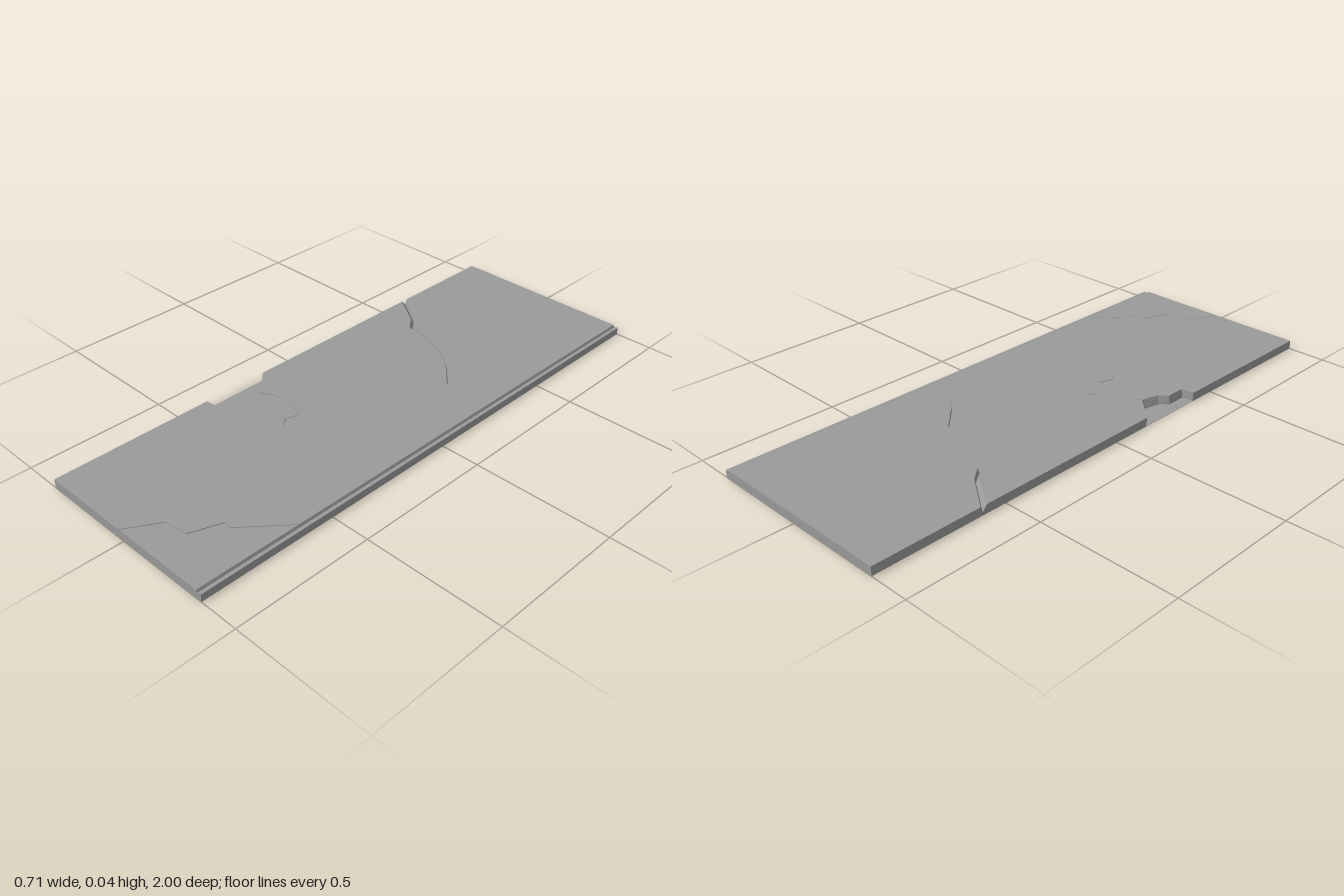
import * as THREE from 'three';

const W = 0.357, LIP = 0.337, T = 0.032, FLOOR = 0.001;

const material = new THREE.MeshStandardMaterial({
  color: 0x9a9a9a, flatShading: true, side: THREE.DoubleSide,
});

// Slight upheaval of the surface just behind the long crack
function lift(x, z) {
  const crackZ = -0.45 + 0.294 * (x + 0.19) + 1.22 * (x + 0.19) * (x + 0.02);
  return z < crackZ ? 0.004 * Math.exp(-((x + 0.08) ** 2) / 0.02 - ((z + 0.42) ** 2) / 0.01) : 0;
}
const onTop = ([x, z]) => [x, T + lift(x, z), z];

// Crack from rows of [x, z, width, depth, optional sideways direction];
// the back wall is steeper than the front one
function makeCrack(rows) {
  const front = [], back = [], bottom = [];
  rows.forEach(([x, z, w, depth, dir], i) => {
    const a = rows[Math.max(i - 1, 0)], b = rows[Math.min(i + 1, rows.length - 1)];
    const dx = b[0] - a[0], dz = b[1] - a[1], len = Math.hypot(dx, dz);
    const [nx, nz] = dir || [-dz / len, dx / len];
    front.push([x + nx * w / 2, z + nz * w / 2]);
    back.push([x - nx * w / 2, z - nz * w / 2]);
    bottom.push([x - nx * w * 0.2, T - depth, z - nz * w * 0.2]);
  });
  return { front, back, bottom };
}

// Faceted band between two rows of 3D points
function band(a, b) {
  const pos = [];
  for (let i = 0; i < a.length - 1; i++) {
    pos.push(...a[i], ...b[i], ...b[i + 1], ...a[i], ...b[i + 1], ...a[i + 1]);
  }
  const g = new THREE.BufferGeometry();
  g.setAttribute('position', new THREE.Float32BufferAttribute(pos, 3));
  g.computeVertexNormals();
  return g;
}

const flat = (pts, holes = []) => {
  const toV = (p) => new THREE.Vector2(p[0], p[1]);
  const s = new THREE.Shape(pts.map(toV));
  holes.forEach((h) => s.holes.push(new THREE.Path(h.map(toV))));
  return new THREE.ShapeGeometry(s);
};

// Horizontal sheet from [x, z] points, at a height given by a rule
function sheet(pts, height, holes = []) {
  const flip = (list) => list.map(([x, z]) => [x, -z]);
  const g = flat(flip(pts), holes.map(flip)).rotateX(-Math.PI / 2);
  const p = g.attributes.position;
  for (let i = 0; i < p.count; i++) p.setY(i, height(p.getX(i), p.getZ(i)));
  g.computeVertexNormals();
  return g;
}

export function createModel() {
  const group = new THREE.Group();
  const add = (name, geometry) => {
    const m = new THREE.Mesh(geometry, material);
    m.name = name;
    group.add(m);
  };

  const backCrack = makeCrack([
    [-W, -0.588, 0.026, 0.02, [0, 1]], [-0.235, -0.503, 0.016, 0.015],
    [-0.195, -0.452, 0.014, 0.018], [-0.165, -0.447, 0.009, 0.015],
    [-0.02, -0.4, 0.005, 0.012], [0.07, -0.345, 0.005, 0.011],
    [0.155, -0.255, 0.006, 0.009], [0.205, -0.22, 0, 0.004],
  ]);
  const sideCrack = makeCrack([
    [-0.265, 0.24, 0.008, 0.012, [0, 1]], [-0.22, 0.215, 0.004, 0.008],
    [-0.145, 0.205, 0.003, 0.007], [-0.075, 0.235, 0.005, 0.007],
    [-0.09, 0.285, 0.004, 0.006], [-0.05, 0.325, 0, 0.003],
  ]);
  const branchCrack = makeCrack([
    [-0.145, 0.2, 0, 0.003], [-0.12, 0.16, 0.002, 0.006], [-0.1, 0.115, 0, 0.003],
  ]);
  const cornerCrack = makeCrack([
    [-0.02, 1, 0.004, 0.007, [1, 0]], [0.05, 0.885, 0.004, 0.007],
    [0.135, 0.875, 0.004, 0.007], [0.175, 0.765, 0.004, 0.007],
    [0.205, 0.768, 0.004, 0.007], [LIP, 0.62, 0.004, 0.007, [0, 1]],
  ]);

  // Broken notch in the edge, listed from front to back
  const notchFront = [[-W, 0.4], [-0.31, 0.395], [-0.31, 0.325], [-0.28, 0.3], sideCrack.front[0]];
  const notchBack = [sideCrack.back[0], [-W, 0.15]];

  // Top surface, split by the corner crack
  const topHeight = (x, z) => T + lift(x, z);
  add('topSurface', sheet([
    [-W, -1], [LIP, -1],
    ...[...cornerCrack.back].reverse(),
    [-W, 1],
    ...notchFront, ...sideCrack.front.slice(1), ...[...sideCrack.back].reverse().slice(1), notchBack[1],
    ...backCrack.front, ...[...backCrack.back].reverse().slice(1),
  ], topHeight, [[...branchCrack.front, branchCrack.back[1]]]));
  add('cornerSurface', sheet([...cornerCrack.front, [LIP, 1]], topHeight));

  // Loose shard tilted slightly upward beside the branching crack
  add('raisedShard', sheet([[-0.142, 0.203], [-0.08, 0.229], [-0.1, 0.118]],
    (x, z) => T + 0.0003 + Math.max(0, z - 0.118) * 0.018));

  // V-shaped crack walls
  Object.entries({ backCrack, sideCrack, branchCrack, cornerCrack }).forEach(([name, c]) => {
    add(name + 'FrontWall', band(c.front.map(onTop), c.bottom));
    add(name + 'BackWall', band(c.bottom, c.back.map(onTop)));
  });

  // Notch walls lean inward to a floor near the ground
  const notch = [...notchFront, ...notchBack];
  const foot = notch.map(([x, z]) => [-W + (x + W) * 0.88, z]);
  add('notchWall', band(notch.map(onTop), foot.map(([x, z]) => [x, FLOOR, z])));
  add('notchFloor', sheet(foot, () => FLOOR));

  // Side wall with the openings of the notch and the crack
  add('notchedSideWall', flat([
    [-1, 0], [1, 0], [1, T], [0.4, T], [0.4, FLOOR], [0.15, FLOOR], [0.15, T],
    [-0.575, T], [-0.593, T - 0.02], [-0.601, T], [-1, T],
  ]).rotateY(-Math.PI / 2).translate(-W, 0, 0));

  // Grooved rim and outer wall along the other side
  const rim = [[LIP, T], [0.341, 0.023], [0.346, 0.027], [W, 0.027], [W, 0]];
  add('groovedRim', band(rim.map(([x, y]) => [x, y, -1]), rim.map(([x, y]) => [x, y, 1])));

  // End walls; the underside stays open
  const end = [[-W, 0], [-W, T], ...rim];
  add('frontWall', flat(end).translate(0, 0, 1));
  add('backWall', flat(end.map(([x, y]) => [-x, y])).rotateY(Math.PI).translate(0, 0, -1));

  return group;
}
